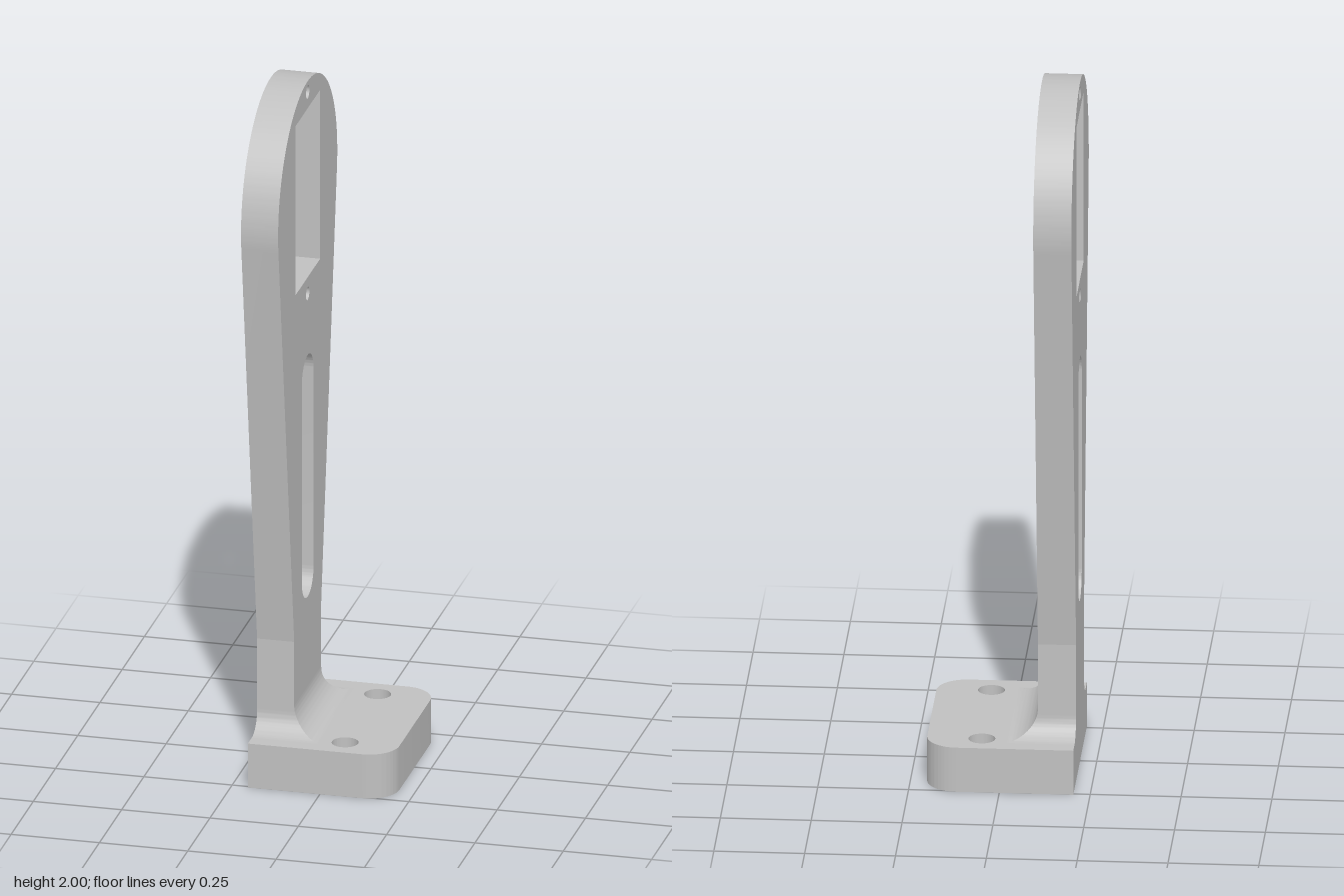
import * as THREE from 'three';
import { toCreasedNormals } from 'three/addons/utils/BufferGeometryUtils.js';

const BACK = -0.204, FACE = -0.099, FRONT = 0.204; // x of rear face, upright face, base front
const BASE_TOP = 0.13, STEM_HALF = 0.152;
const FILLET_X = 0.08, FILLET_Z = 0.06;

function circle(x, y, r) {
  return new THREE.Path().absarc(x, y, r, 0, Math.PI * 2, true);
}

function extrude(shape, depth) {
  const g = new THREE.ExtrudeGeometry(shape, { depth, bevelEnabled: false, curveSegments: 72 });
  return toCreasedNormals(g, 0.12);
}

// Base slab with two rounded front corners and two bolt holes
function baseGeometry() {
  const w = 0.257, r = 0.085;
  const s = new THREE.Shape();
  s.moveTo(BACK, -w);
  s.lineTo(FRONT - r, -w);
  s.absarc(FRONT - r, -w + r, r, -Math.PI / 2, 0, false);
  s.absarc(FRONT - r, w - r, r, 0, Math.PI / 2, false);
  s.lineTo(BACK, w);
  s.closePath();
  for (const side of [-1, 1]) s.holes.push(circle(0.053, side * 0.183, 0.037));
  return extrude(s, BASE_TOP).rotateX(-Math.PI / 2);
}

// Tapered upright: straight stem, tangent flanks, round head, cut-outs
function uprightGeometry() {
  const cy = 1.667, R = 0.333, neck = 0.4;
  const dy = neck - cy;
  const tangent = Math.atan2(dy, STEM_HALF) + Math.acos(R / Math.hypot(dy, STEM_HALF));
  const s = new THREE.Shape();
  s.moveTo(-STEM_HALF, BASE_TOP + FILLET_X);
  s.lineTo(STEM_HALF, BASE_TOP + FILLET_X);
  s.lineTo(STEM_HALF, neck);
  s.absarc(0, cy, R, tangent, Math.PI - tangent, false);
  s.lineTo(-STEM_HALF, neck);
  s.closePath();

  // Rectangular window
  const win = new THREE.Path();
  win.moveTo(-0.14, 1.42);
  win.lineTo(-0.14, 1.92);
  win.lineTo(0.14, 1.92);
  win.lineTo(0.14, 1.42);
  win.closePath();

  // Long slot with round ends
  const slot = new THREE.Path(), sr = 0.066;
  slot.absarc(0, 1.19 - sr, sr, Math.PI, 0, true);
  slot.absarc(0, 0.475 + sr, sr, 0, -Math.PI, true);
  slot.closePath();

  s.holes.push(win, slot, circle(0, 1.968, 0.019), circle(0, 1.372, 0.019));
  return extrude(s, FACE - BACK).rotateY(Math.PI / 2).translate(BACK, 0, 0);
}

// Flared foot: rectangular sections widening by concave arcs, flat at the rear
function filletGeometry() {
  const steps = 24, pos = [], index = [];
  const flare = (r, h) => (h >= r ? 0 : r - Math.sqrt(r * r - (r - h) ** 2));
  for (let i = 0; i <= steps; i++) {
    const h = FILLET_X * (1 - Math.cos((i / steps) * Math.PI / 2));
    const xf = FACE + flare(FILLET_X, h), z = STEM_HALF + flare(FILLET_Z, h), y = BASE_TOP + h;
    pos.push(BACK, y, z, xf, y, z, xf, y, -z, BACK, y, -z);
  }
  for (let i = 0; i < steps; i++) {
    for (let k = 0; k < 4; k++) {
      const a = i * 4 + k, b = i * 4 + ((k + 1) % 4);
      index.push(a, b, b + 4, a, b + 4, a + 4);
    }
  }
  const g = new THREE.BufferGeometry();
  g.setAttribute('position', new THREE.Float32BufferAttribute(pos, 3));
  g.setIndex(index);
  return toCreasedNormals(g, 0.3);
}

export function createModel() {
  const group = new THREE.Group();
  group.name = 'mountingBracket';
  const grey = new THREE.MeshStandardMaterial({ color: 0xc0c0c0 });
  grey.name = 'grey';
  const add = (name, geometry) => {
    const mesh = new THREE.Mesh(geometry, grey);
    mesh.name = name;
    group.add(mesh);
  };
  add('base', baseGeometry());
  add('upright', uprightGeometry());
  add('footFillet', filletGeometry());
  return group;
}
